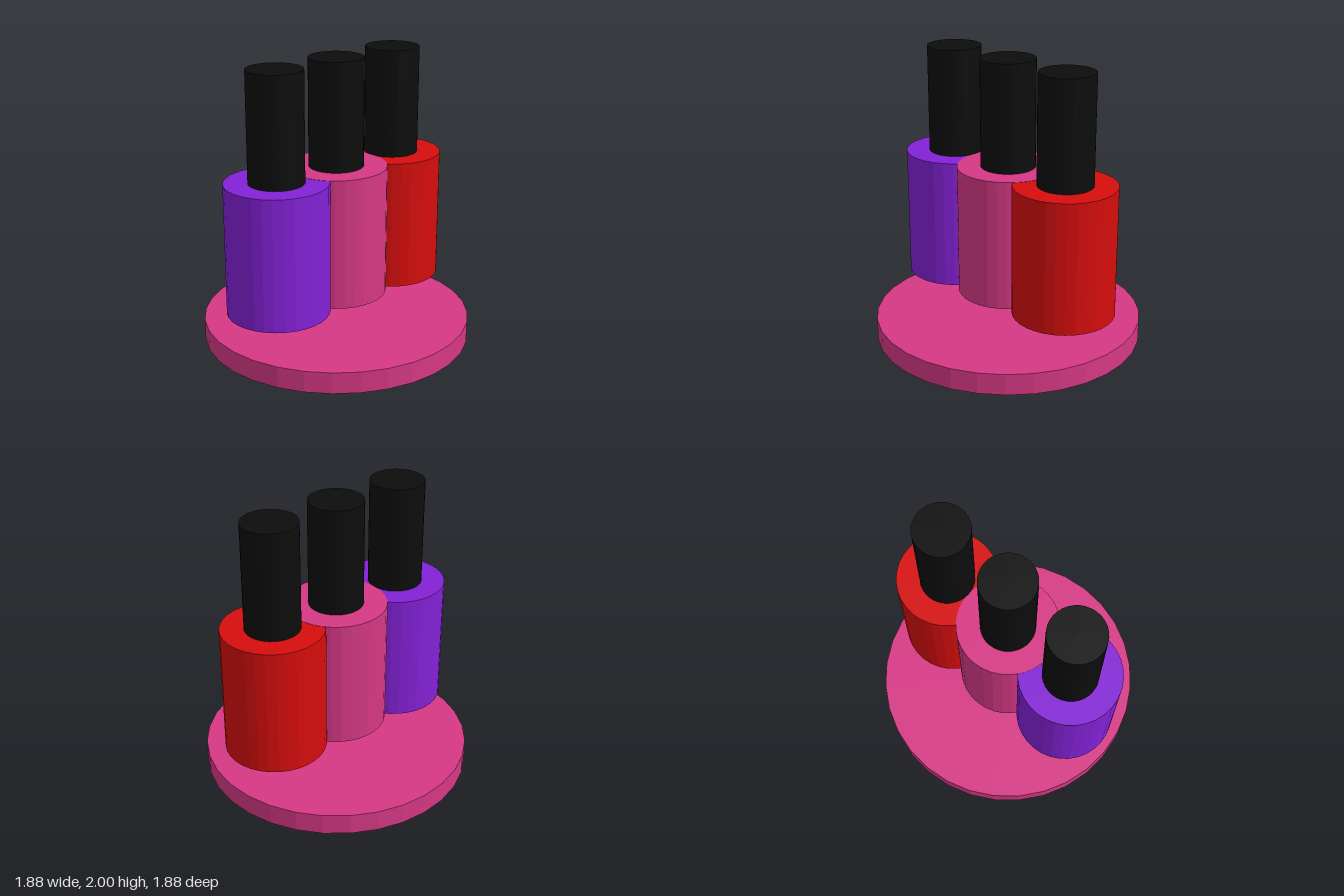
import * as THREE from 'three';

const material = (name, color) => {
  const m = new THREE.MeshStandardMaterial({ color, flatShading: true });
  m.name = name;
  return m;
};

export function createModel() {
  const pink = material('pink', 0xd63885);
  const purple = material('purple', 0x8321d6);
  const red = material('red', 0xd60d0d);
  const black = material('black', 0x0d0d0d);

  const model = new THREE.Group();
  model.name = 'bottleStand';

  // Upright cylinder spanning two heights
  const cylinder = (parent, name, radius, bottom, top, mat) => {
    const mesh = new THREE.Mesh(new THREE.CylinderGeometry(radius, radius, top - bottom, 32), mat);
    mesh.name = name;
    mesh.position.y = (bottom + top) / 2;
    parent.add(mesh);
  };

  // Round base plate
  cylinder(model, 'base', 0.94, 0, 0.15, pink);

  // Three overlapping bottles floating above the base, each with a tall cap;
  // the middle one stands a hair higher so the shared tops do not flicker
  const bottles = [
    ['rightBottle', -0.54, purple, 1.244],
    ['middleBottle', 0, pink, 1.246],
    ['leftBottle', 0.54, red, 1.244],
  ];
  for (const [name, x, mat, top] of bottles) {
    const bottle = new THREE.Group();
    bottle.name = name;
    bottle.position.x = x;
    cylinder(bottle, 'body', 0.353, 0.325, top, mat);
    cylinder(bottle, 'cap', 0.19, 1.24, 2, black);
    model.add(bottle);
  }
  return model;
}
